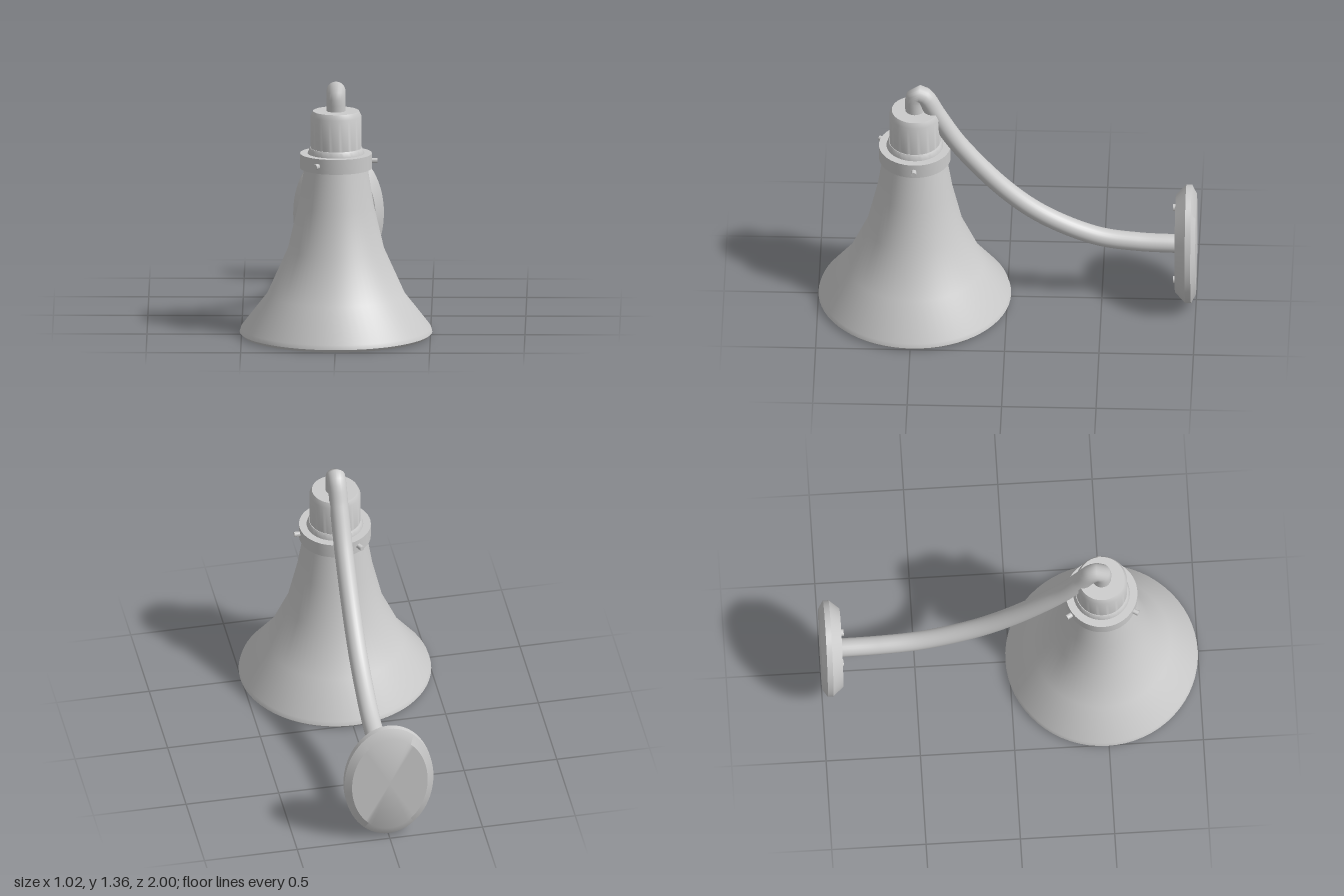
import * as THREE from 'three';
import { toCreasedNormals } from 'three/addons/utils/BufferGeometryUtils.js';

const material = new THREE.MeshStandardMaterial({ color: 0xcccccc });
const AXIS_Z = 0.49; // vertical axis of the shade and socket
const PLATE_Y = 0.366; // centre height of the wall plate

function addMesh(parent, name, geometry) {
  const mesh = new THREE.Mesh(geometry, material);
  mesh.name = name;
  parent.add(mesh);
  return mesh;
}

// Revolved profile of [radius, height] pairs, listed counter-clockwise
function lathe(profile, segments = 64) {
  return new THREE.LatheGeometry(profile.map(([r, y]) => new THREE.Vector2(r, y)), segments);
}

const crease = (geometry) => toCreasedNormals(geometry, 0.5);

export function createModel() {
  const model = new THREE.Group();
  const head = new THREE.Group();
  head.name = 'lampHead';
  head.position.z = AXIS_Z;
  model.add(head);

  // Flared hollow shade: down the inside, round the rim, up the outside
  addMesh(head, 'shade', crease(lathe([
    [0, 0.93], [0.15, 0.92], [0.187, 0.7], [0.241, 0.465], [0.35, 0.22], [0.485, 0.035],
    [0.485, 0.003], [0.495, 0.003], [0.51, 0.018], [0.503, 0.042],
    [0.365, 0.22], [0.255, 0.465], [0.2, 0.7], [0.168, 0.9], [0.16, 0.95],
  ])));

  // Clamping collar around the neck
  addMesh(head, 'collar', crease(lathe([
    [0.15, 0.9], [0.19, 0.9], [0.19, 0.98], [0.14, 0.98],
  ])));

  // Socket cup with stepped foot and chamfered top
  addMesh(head, 'socket', crease(lathe([
    [0.15, 0.97], [0.15, 0.98], [0.142, 1.003], [0.138, 1.01], [0.135, 1.01],
    [0.135, 1.18], [0.122, 1.208], [0, 1.208],
  ])));

  // Three thumb screws spaced evenly round the collar
  for (let i = 0; i < 3; i++) {
    const angle = (i * Math.PI * 2) / 3;
    const geometry = crease(new THREE.CylinderGeometry(0.014, 0.014, 0.06, 16));
    geometry.rotateZ(Math.PI / 2).translate(0.19, 0.94, 0).rotateY(angle);
    addMesh(head, 'collarScrew', geometry);
  }

  // Swan-neck arm from the socket to the wall plate
  const path = new THREE.CatmullRomCurve3([
    [1.19, 0.49], [1.285, 0.49], [1.31, 0.475], [1.295, 0.44], [1.18, 0.375],
    [0.985, 0.255], [0.7, 0.01], [0.537, -0.195], [0.41, -0.47], [0.375, -0.69],
    [PLATE_Y, -0.9],
  ].map(([y, z]) => new THREE.Vector3(0, y, z)));
  addMesh(model, 'arm', new THREE.TubeGeometry(path, 72, 0.05, 24));

  // Oval wall plate, bevelled on both faces
  const plate = lathe([[0, 0], [0.85, 0], [1, 0.025], [1, 0.055], [0.82, 0.11], [0, 0.11]]);
  plate.rotateX(Math.PI / 2).scale(0.24, 0.347, 1).translate(0, PLATE_Y, -1);
  addMesh(model, 'wallPlate', crease(plate));

  // Fixing screws above and below the arm
  for (const side of [-1, 1]) {
    const screw = crease(new THREE.CylinderGeometry(0.018, 0.02, 0.03, 16));
    screw.rotateX(Math.PI / 2).translate(0, PLATE_Y + side * 0.235, -0.892);
    addMesh(model, 'plateScrew', screw);
  }

  return model;
}
